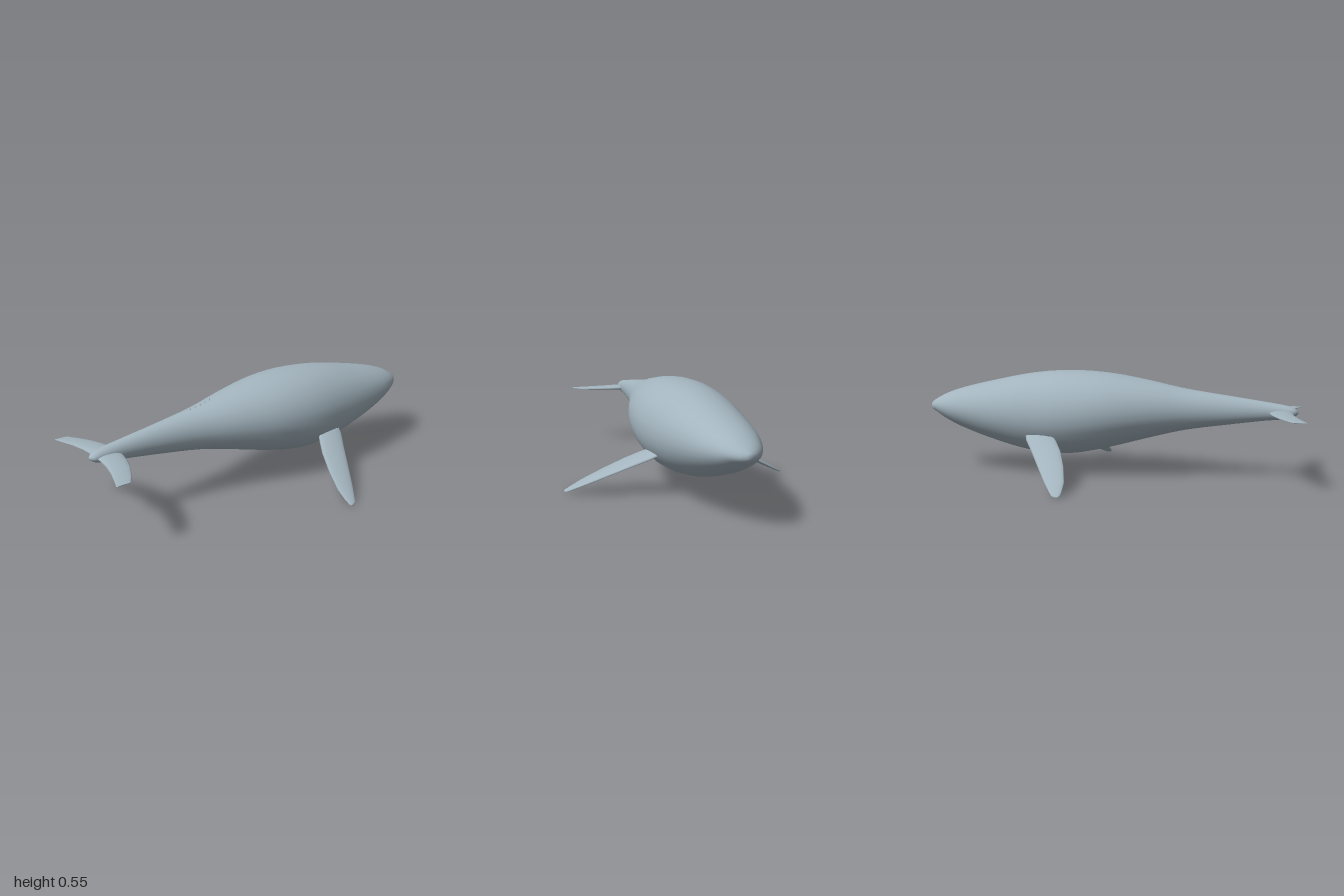
import * as THREE from 'three';

// Joins equal-sized rings of points into a closed smooth skin with end caps.
function loft(rings) {
  const n = rings[0].length, pos = [], index = [];
  rings.forEach(r => r.forEach(p => pos.push(...p)));
  for (let i = 0; i < rings.length - 1; i++) {
    for (let j = 0; j < n; j++) {
      const a = i * n + j, b = i * n + (j + 1) % n;
      index.push(a, b, b + n, a, b + n, a + n);
    }
  }
  [0, rings.length - 1].forEach((k, end) => {
    const c = pos.length / 3;
    pos.push(...[0, 1, 2].map(d => rings[k].reduce((s, p) => s + p[d], 0) / n));
    for (let j = 0; j < n; j++) {
      const a = k * n + j, b = k * n + (j + 1) % n;
      if (end) index.push(c, a, b); else index.push(c, b, a);
    }
  });
  const g = new THREE.BufferGeometry();
  g.setAttribute('position', new THREE.Float32BufferAttribute(pos, 3));
  g.setIndex(index);
  g.computeVertexNormals();
  return g;
}

// Sections along the span: x, leading z, trailing z, centre y, half thickness.
function wing(sections, side) {
  return loft(sections.map(([x, lead, trail, y, t]) =>
    Array.from({ length: 16 }, (_, j) => {
      const a = side * j / 16 * Math.PI * 2;
      return [side * x, y + t * Math.sin(a),
        (lead + trail) / 2 - (trail - lead) / 2 * Math.cos(a)];
    })));
}

export function createModel() {
  const model = new THREE.Group();
  const skin = new THREE.MeshStandardMaterial({ color: 0xa3b4be });
  skin.name = 'greyBlueSkin';
  const add = (name, geometry) => {
    const mesh = new THREE.Mesh(geometry, skin);
    mesh.name = name;
    model.add(mesh);
    return mesh;
  };

  // Body stations from nose to tail: z, half width, top y, bottom y
  const stations = [
    [-1, 0.012, 0.352, 0.33], [-0.985, 0.04, 0.366, 0.315], [-0.95, 0.075, 0.387, 0.298],
    [-0.9, 0.106, 0.412, 0.267], [-0.8, 0.146, 0.445, 0.222], [-0.6, 0.193, 0.492, 0.155],
    [-0.4, 0.225, 0.53, 0.11], [-0.2, 0.241, 0.545, 0.102], [0, 0.221, 0.535, 0.14],
    [0.2, 0.165, 0.502, 0.194], [0.4, 0.103, 0.46, 0.244], [0.6, 0.064, 0.43, 0.275],
    [0.8, 0.041, 0.401, 0.303], [0.92, 0.034, 0.381, 0.317], [0.95, 0.026, 0.37, 0.328],
    [0.967, 0.008, 0.354, 0.342],
  ];
  const widths = new THREE.CatmullRomCurve3(stations.map(s => new THREE.Vector3(s[1], 0, s[0])));
  const heights = new THREE.CatmullRomCurve3(stations.map(s => new THREE.Vector3(s[2], s[3], s[0])));
  const rings = [], steps = (stations.length - 1) * 3;
  for (let i = 0; i <= steps; i++) {
    const w = widths.getPoint(i / steps), h = heights.getPoint(i / steps);
    rings.push(Array.from({ length: 28 }, (_, j) => {
      const a = j / 28 * Math.PI * 2;
      return [w.x * Math.cos(a), (h.x + h.y) / 2 + (h.x - h.y) / 2 * Math.sin(a), w.z];
    }));
  }
  add('body', loft(rings));

  // Drooping swept flippers
  const flipper = [
    [0.14, -0.42, -0.29, 0.245, 0.016], [0.23, -0.382, -0.222, 0.198, 0.016],
    [0.3, -0.335, -0.18, 0.16, 0.015], [0.4, -0.272, -0.138, 0.106, 0.013],
    [0.5, -0.208, -0.108, 0.052, 0.01], [0.56, -0.166, -0.104, 0.02, 0.007],
    [0.585, -0.147, -0.107, 0.007, 0.005], [0.592, -0.13, -0.114, 0.003, 0.003],
  ];
  // Swept tail flukes with square tips
  const fluke = [
    [0, 0.822, 0.94, 0.346, 0.015], [0.06, 0.826, 0.941, 0.346, 0.013],
    [0.12, 0.839, 0.946, 0.345, 0.011], [0.19, 0.863, 0.96, 0.344, 0.008],
    [0.26, 0.897, 0.98, 0.342, 0.005], [0.315, 0.93, 0.998, 0.341, 0.002],
  ];
  for (const [label, side] of [['left', 1], ['right', -1]]) {
    add(label + 'Flipper', wing(flipper, side));
    add(label + 'Fluke', wing(fluke, side));
  }

  // Row of tiny knuckles along the rear of the back
  for (let i = 0; i < 5; i++) {
    const z = 0.31 + i * 0.029;
    const bump = add('backKnuckle', new THREE.ConeGeometry(0.005, 0.02, 6));
    bump.position.set(0, 0.479 - (z - 0.31) * 0.2, z);
  }
  return model;
}
